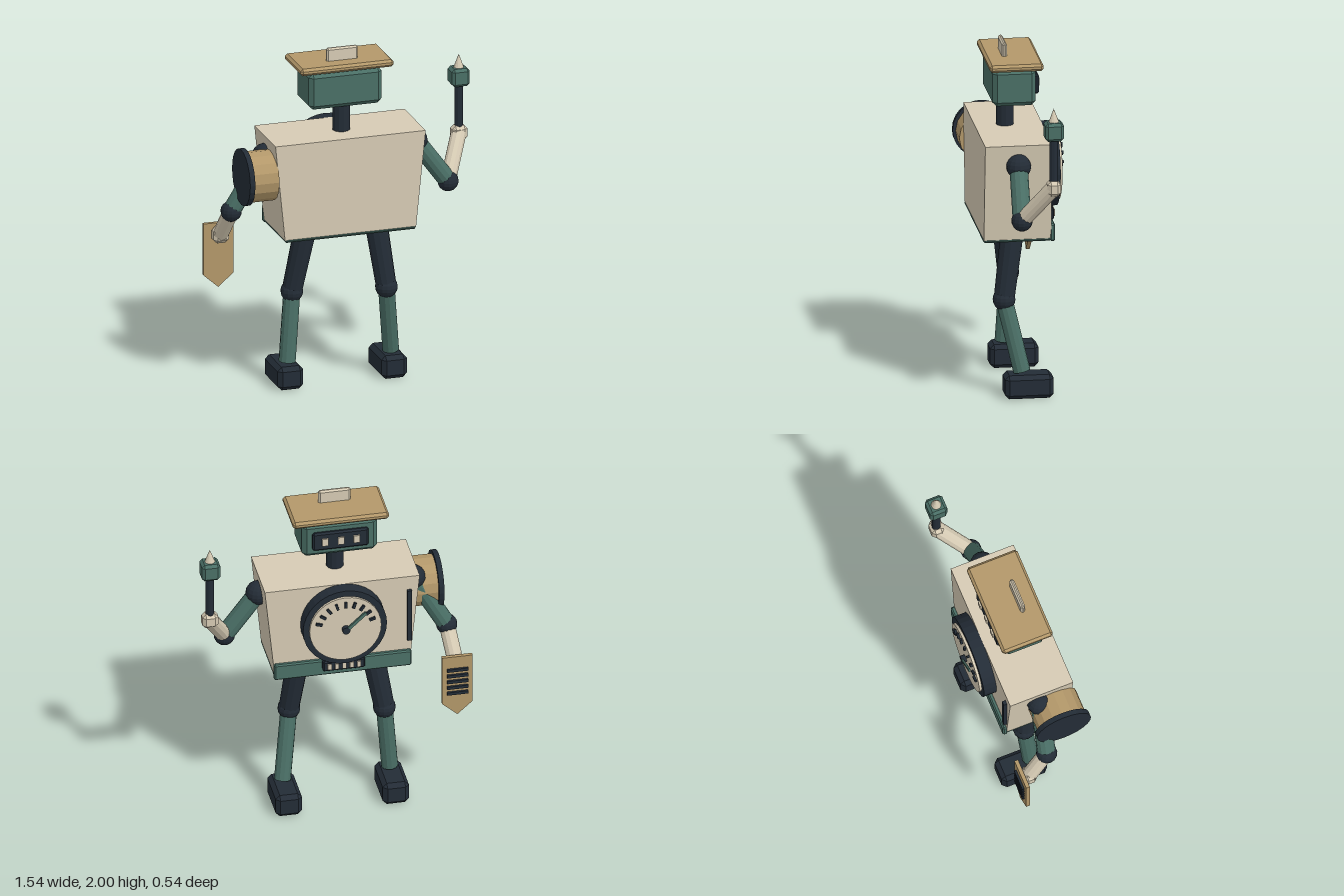
import * as THREE from 'three';
import { ConvexGeometry } from 'three/addons/geometries/ConvexGeometry.js';

const mat = (color) => new THREE.MeshStandardMaterial({ color, flatShading: true });
const V = (x, y, z) => new THREE.Vector3(x, y, z);

export function createModel() {
  const root = new THREE.Group();
  root.name = 'robot';
  const cream = mat(0xd6cbb4), wood = mat(0xb3986a), green = mat(0x4a6f66), dark = mat(0x232c36);
  const CX = -0.033; // centre line of the body

  function add(name, geometry, material, x = 0, y = 0, z = 0, parent = root) {
    const mesh = new THREE.Mesh(geometry, material);
    mesh.name = name;
    mesh.position.set(x, y, z);
    parent.add(mesh);
    return mesh;
  }
  const group = (name) => {
    const g = new THREE.Group();
    g.name = name;
    root.add(g);
    return g;
  };

  // Box with chamfered edges
  function chamferBox(w, h, d, c) {
    const pts = [];
    for (const sx of [-1, 1]) for (const sy of [-1, 1]) for (const sz of [-1, 1]) {
      const x = w / 2, y = h / 2, z = d / 2;
      pts.push(V(sx * x, sy * (y - c), sz * (z - c)),
        V(sx * (x - c), sy * y, sz * (z - c)),
        V(sx * (x - c), sy * (y - c), sz * z));
    }
    return new ConvexGeometry(pts);
  }
  // Cylinder between two points
  function limb(name, a, b, r, material, parent, rEnd = r) {
    const dir = b.clone().sub(a);
    const mesh = add(name, new THREE.CylinderGeometry(rEnd, r, dir.length(), 12), material, 0, 0, 0, parent);
    mesh.position.copy(a).add(b).multiplyScalar(0.5);
    mesh.quaternion.setFromUnitVectors(V(0, 1, 0), dir.normalize());
    return mesh;
  }
  const ball = (name, p, r, parent) =>
    add(name, new THREE.SphereGeometry(r, 14, 10), dark, p.x, p.y, p.z, parent);
  // Disc whose axis runs along z
  const disc = (r, depth, sides) => new THREE.CylinderGeometry(r, r, depth, sides).rotateX(Math.PI / 2);

  // Chest, tapering towards the waist
  const chest = new THREE.BoxGeometry(0.885, 0.565, 0.38);
  const pos = chest.attributes.position;
  for (let i = 0; i < pos.count; i++) if (pos.getY(i) < 0) pos.setX(i, pos.getX(i) * 0.872);
  add('chest', chest, cream, CX, 1.2225, 0.035);
  add('basePlate', chamferBox(0.775, 0.025, 0.385, 0.01), green, CX, 0.9375, 0.035);
  add('waistBand', chamferBox(0.785, 0.1, 0.03, 0.008), green, CX, 0.975, -0.163);
  add('sideSlot', new THREE.BoxGeometry(0.025, 0.33, 0.03), dark, -0.415, 1.255, -0.16);

  // Dial with tick marks and needle
  const dial = group('dial');
  const DY = 1.265;
  add('dialRim', disc(0.24, 0.08, 32), dark, CX, DY, -0.19, dial);
  add('dialFace', disc(0.205, 0.02, 32), cream, CX, DY, -0.235, dial);
  for (let i = 0; i < 9; i++) {
    const a = THREE.MathUtils.degToRad(-72 + i * 18);
    const tick = add('dialTick', new THREE.BoxGeometry(0.015, 0.036, 0.015), dark,
      CX + Math.sin(a) * 0.16, DY + Math.cos(a) * 0.16, -0.251, dial);
    tick.rotation.z = -a;
  }
  add('needleHub', disc(0.022, 0.03, 12), dark, CX, DY, -0.258, dial);
  const needle = add('needle', new THREE.BoxGeometry(0.018, 0.155, 0.012), green, CX - 0.056, DY + 0.052, -0.267, dial);
  needle.rotation.z = Math.atan2(0.112, 0.104);

  // Grille under the dial
  const grille = group('chestGrille');
  add('grillePlate', chamferBox(0.24, 0.065, 0.04, 0.008), dark, CX, 1.0, -0.19, grille);
  for (let i = -2; i <= 2; i++)
    add('grilleBar', new THREE.BoxGeometry(0.022, 0.036, 0.012), cream, CX + i * 0.042, 1.0, -0.212, grille);

  // Neck, head, eyes and flat hat
  add('neck', new THREE.CylinderGeometry(0.05, 0.05, 0.2, 12), dark, CX, 1.585, 0.053);
  add('head', chamferBox(0.43, 0.215, 0.245, 0.025), green, CX, 1.7725, 0.028);
  add('visor', chamferBox(0.32, 0.115, 0.03, 0.01), dark, CX, 1.775, -0.103);
  for (let i = -1; i <= 1; i++)
    add('eye', new THREE.BoxGeometry(0.036, 0.046, 0.015), cream, CX + i * 0.09, 1.775, -0.12);
  add('hatBrim', chamferBox(0.55, 0.042, 0.305, 0.014), wood, CX, 1.904, 0.022);
  add('hatHandle', chamferBox(0.185, 0.085, 0.028, 0.01), cream, CX, 1.9575, 0.067);

  // Arm from shoulder to wrist
  function arm(name, shoulder, elbow, wrist) {
    const g = group(name);
    ball('shoulder', shoulder, 0.07, g);
    limb('upperArm', shoulder, elbow, 0.052, green, g);
    ball('elbow', elbow, 0.06, g);
    limb('forearm', elbow, wrist, 0.045, cream, g);
    add('wrist', chamferBox(0.09, 0.09, 0.075, 0.02), cream, wrist.x, wrist.y, wrist.z, g);
    return g;
  }

  // Left arm holding a rod with a pointed tip
  const leftArm = arm('leftArm', V(0.41, 1.385, 0.037), V(0.6, 1.125, 0.045), V(0.717, 1.345, -0.117));
  const rod = (name, geometry, material, y) => add(name, geometry, material, 0.717, y, -0.118, leftArm);
  rod('rod', new THREE.CylinderGeometry(0.025, 0.025, 0.27, 12), dark, 1.505);
  rod('rodHead', chamferBox(0.105, 0.105, 0.105, 0.016), green, 1.68);
  rod('rodTip', new THREE.ConeGeometry(0.03, 0.08, 12), cream, 1.77);

  // Right arm with a pointed, slotted paddle
  const rightArm = arm('rightArm', V(-0.475, 1.385, 0.02), V(-0.66, 1.065, -0.01), V(-0.685, 0.89, -0.128));
  const paddle = new THREE.Shape([[-0.0875, 0.95], [-0.0875, 0.645], [0, 0.567], [0.0875, 0.645], [0.0875, 0.95]]
    .map(([x, y]) => new THREE.Vector2(x, y)));
  add('paddle', new THREE.ExtrudeGeometry(paddle, { depth: 0.022, bevelEnabled: false }), wood, -0.686, 0, -0.18, rightArm);
  for (let i = 0; i < 5; i++)
    add('paddleSlot', new THREE.BoxGeometry(0.12, 0.018, 0.014), dark, -0.686, 0.866 - i * 0.038, -0.186, rightArm);

  // Drum on the right side
  const drum = group('sideDrum');
  add('drumBody', new THREE.CylinderGeometry(0.145, 0.145, 0.17, 16).rotateZ(Math.PI / 2), wood, -0.545, 1.3, 0.105, drum);
  add('drumCap', new THREE.CylinderGeometry(0.163, 0.163, 0.03, 24).rotateZ(Math.PI / 2), dark, -0.623, 1.302, 0.104, drum);

  // Legs and feet
  function leg(name, hip, knee, ankle, footX) {
    const g = group(name);
    limb('thigh', hip, knee, 0.065, dark, g, 0.058);
    ball('knee', knee, 0.064, g);
    limb('shin', knee, ankle, 0.048, green, g);
    add('foot', chamferBox(0.15, 0.137, 0.275, 0.024), dark, footX, 0.0685, -0.036, g);
  }
  leg('leftLeg', V(0.175, 0.94, 0.04), V(0.221, 0.555, 0.093), V(0.277, 0.148, 0), 0.272);
  leg('rightLeg', V(-0.238, 0.94, 0.04), V(-0.305, 0.555, -0.002), V(-0.34, 0.148, 0.02), -0.34);

  return root;
}
